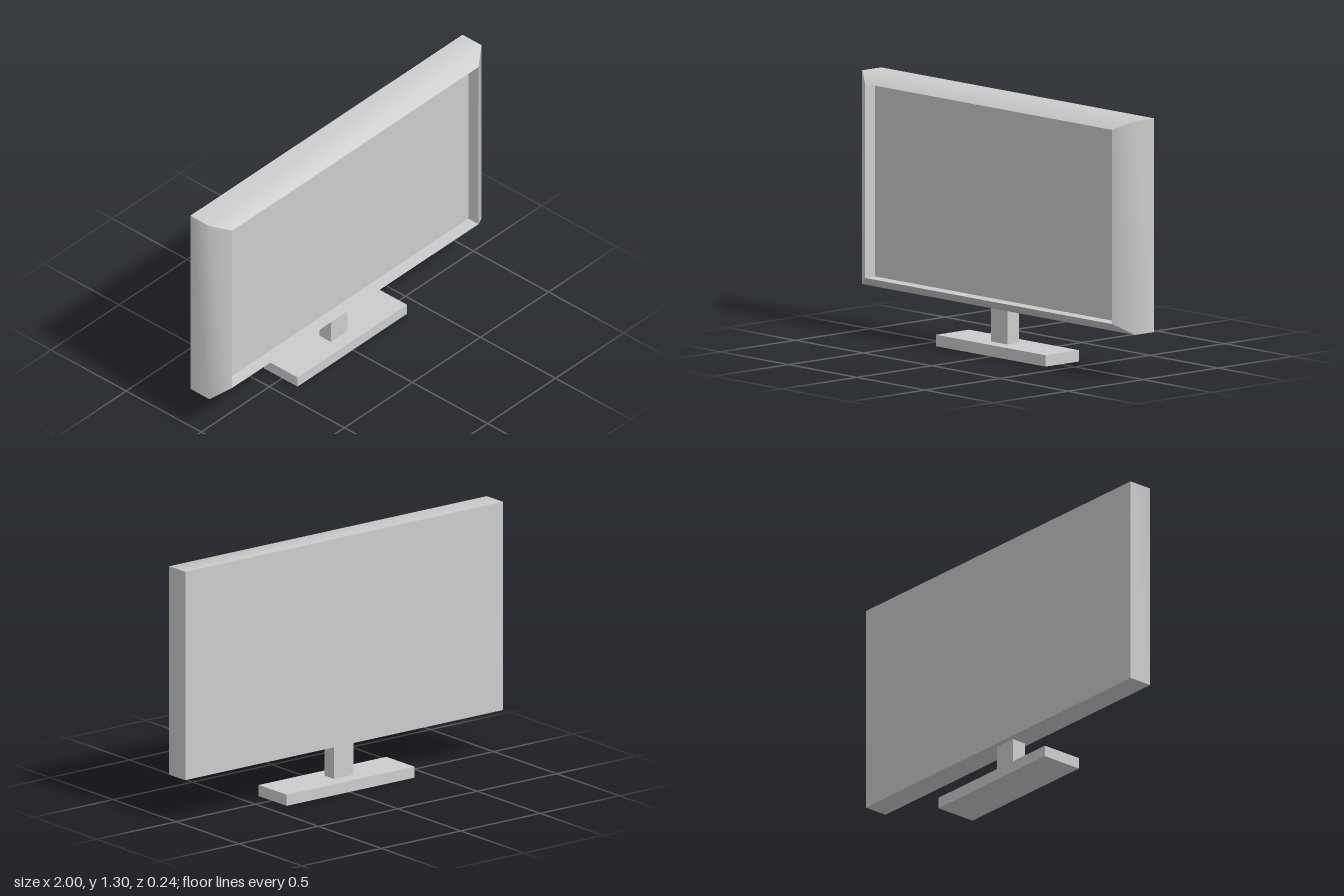
import * as THREE from 'three';

// Corners of a rectangle at depth z, counter-clockwise seen from the front
const ring = (hw, y0, y1, z) => [[-hw, y0, z], [hw, y0, z], [hw, y1, z], [-hw, y1, z]];

// One side of a stack of rings: smooth along the depth, sharp at the mitres
function sideStrip(rings, side) {
  const positions = [], index = [];
  rings.forEach((r, row) => {
    positions.push(...r[side], ...r[(side + 1) % 4]);
    if (row > 0) {
      const a = (row - 1) * 2;
      index.push(a, a + 1, a + 3, a, a + 3, a + 2);
    }
  });
  const g = new THREE.BufferGeometry();
  g.setAttribute('position', new THREE.Float32BufferAttribute(positions, 3));
  g.setIndex(index);
  g.computeVertexNormals();
  return g;
}

export function createModel() {
  const model = new THREE.Group();
  model.name = 'monitor';
  const grey = new THREE.MeshStandardMaterial({ color: 0xcccccc });
  grey.name = 'light grey';

  const add = (name, geometry, parent, x = 0, y = 0, z = 0) => {
    const mesh = new THREE.Mesh(geometry, grey);
    mesh.name = name;
    mesh.position.set(x, y, z);
    parent.add(mesh);
    return mesh;
  };

  // Housing: straight sides, bevelled bezel and recessed screen
  const housing = new THREE.Group();
  housing.name = 'housing';
  model.add(housing);
  const bottom = 0.23, top = 1.3, back = -0.073, screenZ = 0.053;
  const lipHalf = 0.905, lipBottom = 0.28, lipTop = 1.252;
  const lip = ring(lipHalf, lipBottom, lipTop, 0.12);
  const shell = [ring(1, bottom, top, back), ring(1, bottom, top, 0.055), lip];
  const recess = [lip, ring(lipHalf, lipBottom, lipTop, screenZ)];
  ['bottom', 'left', 'top', 'right'].forEach((label, i) => {
    add(label + 'Bezel', sideStrip(shell, i), housing);
    add(label + 'Recess', sideStrip(recess, i), housing);
  });
  add('screen', new THREE.PlaneGeometry(lipHalf * 2, lipTop - lipBottom), housing,
    0, (lipTop + lipBottom) / 2, screenZ);
  add('backPanel', new THREE.PlaneGeometry(2, top - bottom), housing,
    0, (top + bottom) / 2, back).rotation.y = Math.PI;

  // Stand: slightly off-centre post on a flat foot
  add('standPost', new THREE.BoxGeometry(0.12, 0.174, 0.077), model, -0.02, 0.143, -0.007);
  add('standFoot', new THREE.BoxGeometry(0.804, 0.057, 0.222), model, -0.004, 0.0285, -0.008);

  return model;
}
